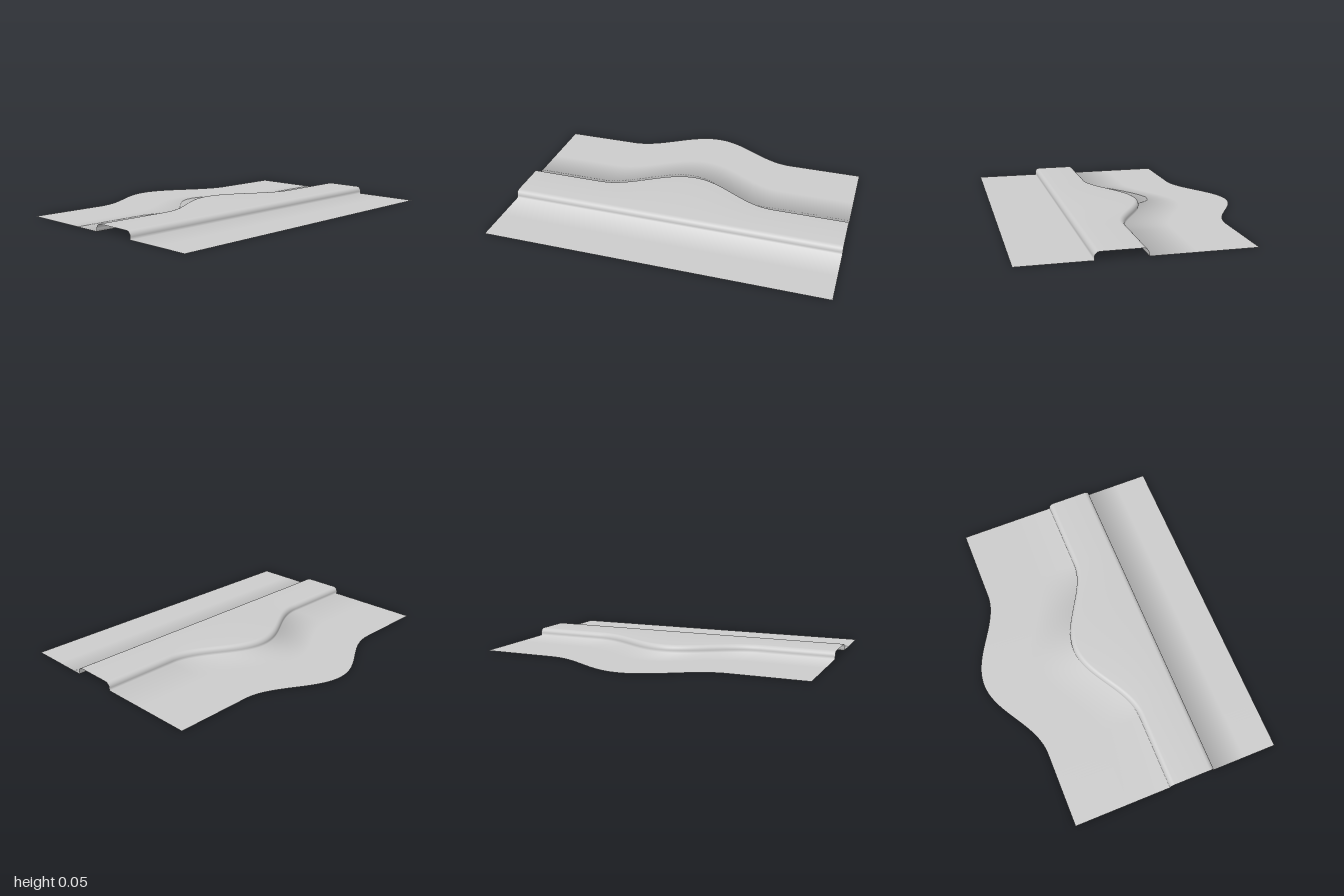
import * as THREE from 'three';

const HEIGHT = 0.045, RADIUS = 0.03, BULGE = 0.215, HALF_BULGE = 0.55, COLUMNS = 120;

// sideways bulge of the rear half: a raised cosine, and its slope
const bulge = (x) => Math.abs(x) < HALF_BULGE ? -BULGE * 0.5 * (1 + Math.cos(Math.PI * x / HALF_BULGE)) : 0;
const slope = (x) => Math.abs(x) < HALF_BULGE ? BULGE * 0.5 * Math.PI / HALF_BULGE * Math.sin(Math.PI * x / HALF_BULGE) : 0;

// cross-section from back to front; follow is 1 where a row follows the bulge
function makeProfile() {
  const back = [[-0.53, 0], [-0.2, 0], [0.06, 0]];
  const front = [[0.74, 0], [0.54, 0], [0.34, 0]];
  for (let i = 0; i <= 8; i++) {
    const a = i / 8 * Math.PI / 2;
    const inset = RADIUS * (1 - Math.cos(a));
    const y = HEIGHT - RADIUS + RADIUS * Math.sin(a);
    back.push([0.06 + inset, y]);
    front.push([0.34 - inset, y]);
  }
  const rows = [
    ...back.map(([z, y]) => ({ z, y, follow: 1 })),
    ...front.reverse().map(([z, y]) => ({ z, y, follow: 0 })),
  ];
  // smooth normals: mean of the two neighbouring segment directions
  const direction = (a, b) => new THREE.Vector2(b.z - a.z, b.y - a.y).normalize();
  rows.forEach((row, i) => {
    const t = new THREE.Vector2();
    if (i > 0) t.add(direction(rows[i - 1], row));
    if (i < rows.length - 1) t.add(direction(row, rows[i + 1]));
    t.normalize();
    row.nz = -t.y;
    row.ny = t.x;
  });
  return rows;
}

// sweep part of the cross-section along x
function strip(rows, material, name) {
  const position = [], normal = [], index = [];
  const n = new THREE.Vector3();
  rows.forEach((row, r) => {
    for (let c = 0; c <= COLUMNS; c++) {
      const x = -1 + 2 * c / COLUMNS;
      position.push(x, row.y, row.z + row.follow * bulge(x));
      n.set(-row.follow * slope(x) * row.nz, row.ny, row.nz).normalize();
      normal.push(n.x, n.y, n.z);
      if (r < rows.length - 1 && c < COLUMNS) {
        const a = r * (COLUMNS + 1) + c, b = a + COLUMNS + 1;
        index.push(a, b, a + 1, b, b + 1, a + 1);
      }
    }
  });
  const geometry = new THREE.BufferGeometry();
  geometry.setAttribute('position', new THREE.Float32BufferAttribute(position, 3));
  geometry.setAttribute('normal', new THREE.Float32BufferAttribute(normal, 3));
  geometry.setIndex(index);
  const mesh = new THREE.Mesh(geometry, material);
  mesh.name = name;
  return mesh;
}

export function createModel() {
  const group = new THREE.Group();
  group.name = 'steppedSheet';
  const lightGrey = new THREE.MeshStandardMaterial({ color: 0xcccccc, side: THREE.DoubleSide });
  lightGrey.name = 'light grey';
  const rows = makeProfile();
  const last = rows.length;
  group.add(
    strip(rows.slice(0, 3), lightGrey, 'rearGround'),
    strip(rows.slice(2, last - 2), lightGrey, 'raisedPlateau'),
    strip(rows.slice(last - 3), lightGrey, 'frontGround'),
  );
  return group;
}
